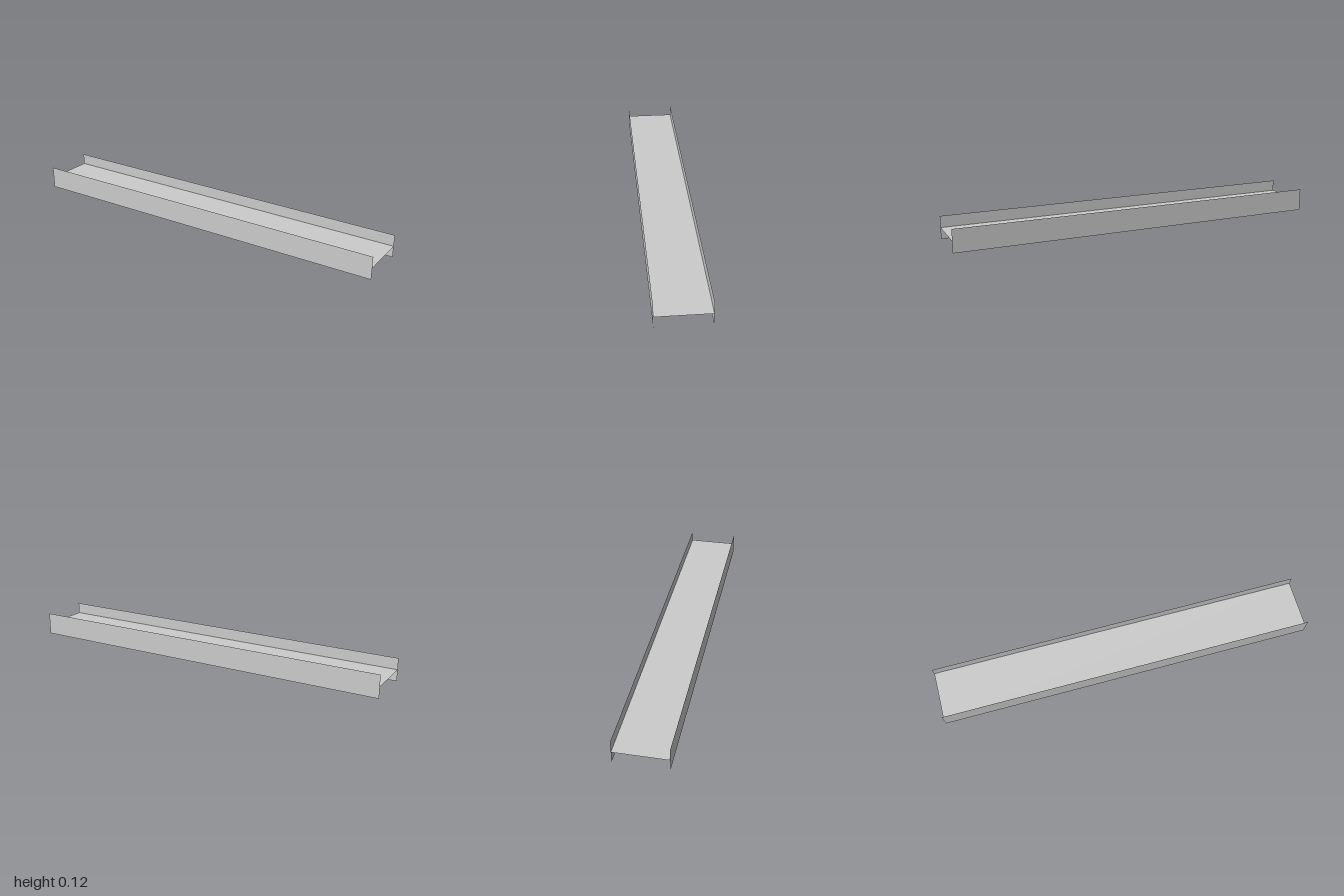
import * as THREE from 'three';

const LENGTH = 2, HEIGHT = 0.12, DEPTH = 0.266;

export function createModel() {
  const beam = new THREE.Group();
  beam.name = 'beam';
  const material = new THREE.MeshStandardMaterial({ color: 0xcccccc, side: THREE.DoubleSide });

  // Thin sheet running the full length of the beam
  const addSheet = (name, width) => {
    const sheet = new THREE.Mesh(new THREE.PlaneGeometry(LENGTH, width), material);
    sheet.name = name;
    beam.add(sheet);
    return sheet;
  };

  // Upright flanges, facing outwards at front and back
  for (const side of [1, -1]) {
    const flange = addSheet(side > 0 ? 'frontFlange' : 'backFlange', HEIGHT);
    flange.position.set(0, HEIGHT / 2, side * DEPTH / 2);
    if (side < 0) flange.rotation.y = Math.PI;
  }

  // Horizontal web joining the flanges at mid-height
  const web = addSheet('web', DEPTH);
  web.rotation.x = -Math.PI / 2;
  web.position.y = HEIGHT / 2;

  return beam;
}
